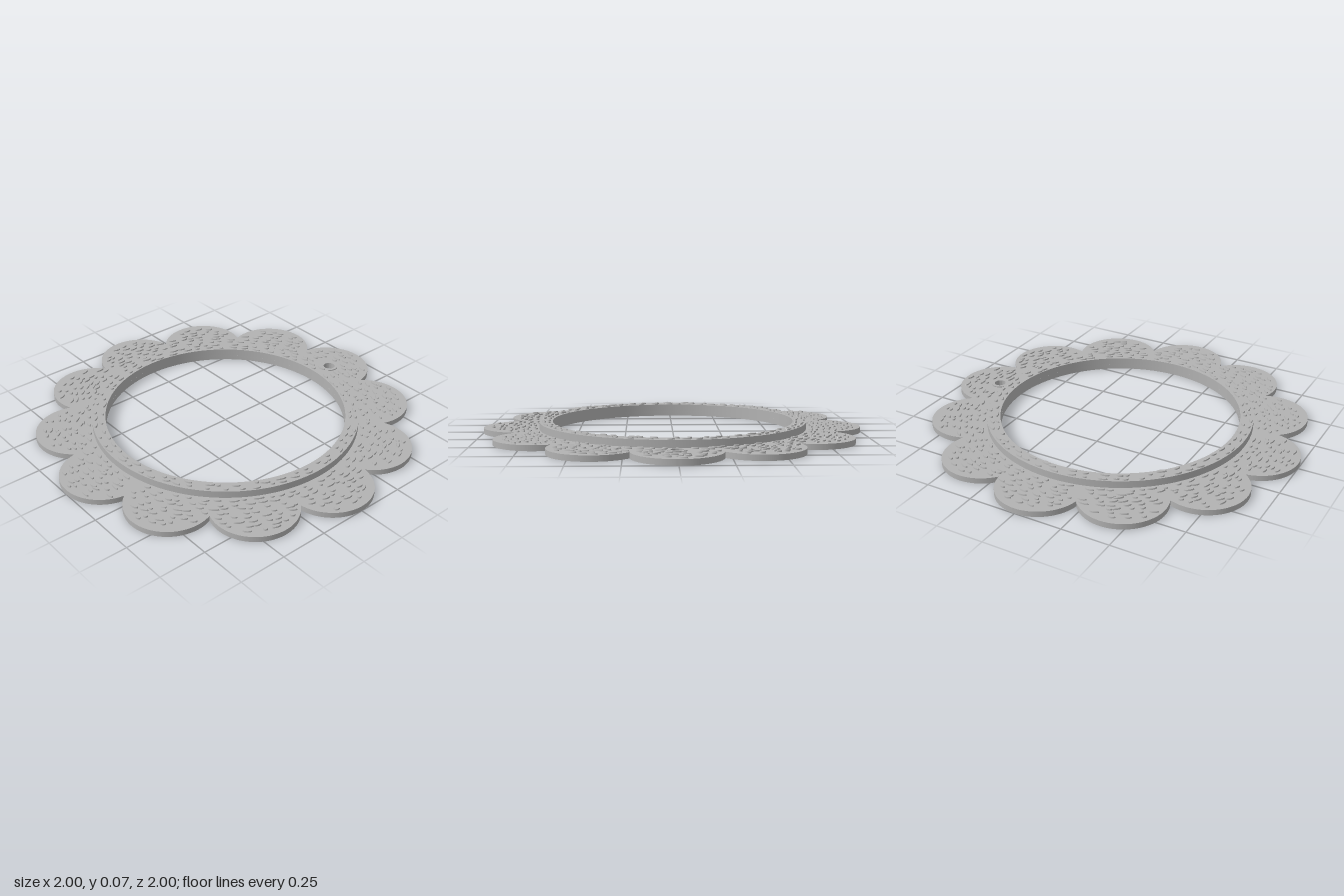
import * as THREE from 'three';
import { mergeGeometries, toCreasedNormals } from 'three/addons/utils/BufferGeometryUtils.js';

const PETALS = 12, PETAL_C = 0.78, PETAL_R = 0.22;
const INNER = 0.635, RIM = 0.705;
const PLATE_TOP = 0.029, RIM_TOP = 0.066, BUMP_H = 0.007;
const HOLE_Z = -0.78, HOLE_R = 0.031;

function seeded(seed) {
  return () => {
    seed = (seed * 1664525 + 1013904223) % 4294967296;
    return seed / 4294967296;
  };
}

function circleHole(x, y, r) {
  const path = new THREE.Path();
  path.absarc(x, y, r, 0, Math.PI * 2, true);
  return path;
}

// Flat shape extruded upward from height y
function slab(shape, y, depth, curveSegments) {
  const g = new THREE.ExtrudeGeometry(shape, { depth, bevelEnabled: false, curveSegments });
  g.rotateX(-Math.PI / 2);
  g.translate(0, y, 0);
  return toCreasedNormals(g, 0.5);
}

function annulus(x, y, outer, inner) {
  const shape = new THREE.Shape();
  shape.absarc(x, y, outer, 0, Math.PI * 2, false);
  shape.holes.push(circleHole(x, y, inner));
  return shape;
}

// Scalloped outline made of twelve meeting arcs
function flowerShape() {
  const shape = new THREE.Shape();
  const half = Math.PI / PETALS;
  const notch = PETAL_C * Math.cos(half) + Math.sqrt(PETAL_R ** 2 - (PETAL_C * Math.sin(half)) ** 2);
  const sweep = Math.atan2(notch * Math.sin(half), notch * Math.cos(half) - PETAL_C);
  for (let i = 0; i < PETALS; i++) {
    const a = i * 2 * half;
    shape.absarc(PETAL_C * Math.cos(a), PETAL_C * Math.sin(a), PETAL_R, a - sweep, a + sweep, false);
  }
  shape.holes.push(circleHole(0, 0, INNER), circleHole(0, -HOLE_Z, HOLE_R));
  return shape;
}

function onPetal(x, z) {
  if (Math.hypot(x, z - HOLE_Z) < 0.075) return false;
  for (let i = 0; i < PETALS; i++) {
    const a = i * 2 * Math.PI / PETALS;
    if (Math.hypot(x - PETAL_C * Math.cos(a), z - PETAL_C * Math.sin(a)) < PETAL_R - 0.025) return true;
  }
  return false;
}

// Low oval pebbles in jittered rows, lengthened along the ring
function bumps(rows, y, spacing, accept, random) {
  const list = [];
  for (const row of rows) {
    const n = Math.round(2 * Math.PI * row / spacing);
    for (let i = 0; i < n; i++) {
      const a = (i + random() * 0.7) / n * 2 * Math.PI;
      const r = row + (random() - 0.5) * 0.014;
      const length = 0.011 + random() * 0.018;
      const x = r * Math.cos(a), z = r * Math.sin(a);
      if (!accept(x, z)) continue;
      const g = new THREE.CylinderGeometry(0.85, 1, BUMP_H, 10, 1, true);
      const cap = new THREE.CircleGeometry(0.85, 10).rotateX(-Math.PI / 2).translate(0, BUMP_H / 2, 0);
      const pebble = mergeGeometries([g, cap]);
      pebble.scale(0.008 + random() * 0.003, 1, length);
      pebble.rotateY(-a + (random() - 0.5) * 0.6);
      pebble.translate(x, y + BUMP_H / 2, z);
      list.push(pebble);
    }
  }
  return mergeGeometries(list);
}

export function createModel() {
  const group = new THREE.Group();
  const grey = new THREE.MeshStandardMaterial({ color: 0xb2b2b2 });
  grey.name = 'grey';
  const add = (name, geometry) => {
    const mesh = new THREE.Mesh(geometry, grey);
    mesh.name = name;
    group.add(mesh);
  };
  const random = seeded(7);

  // Petal plate and the raised rim around the opening
  add('petalPlate', slab(flowerShape(), 0, PLATE_TOP, 64));
  add('raisedRim', slab(annulus(0, 0, RIM, INNER), PLATE_TOP, RIM_TOP - PLATE_TOP, 128));

  // Low collar around the hanging hole
  add('hangingHoleCollar', slab(annulus(0, -HOLE_Z, 0.047, HOLE_R), PLATE_TOP, BUMP_H * 0.8, 24));

  // Pebbled texture on both upper faces
  const petalRows = Array.from({ length: 9 }, (_, i) => 0.73 + i * 0.031);
  add('petalTexture', bumps(petalRows, PLATE_TOP, 0.066, onPetal, random));
  add('rimTexture', bumps([0.655, 0.685], RIM_TOP, 0.075, () => true, random));

  return group;
}
